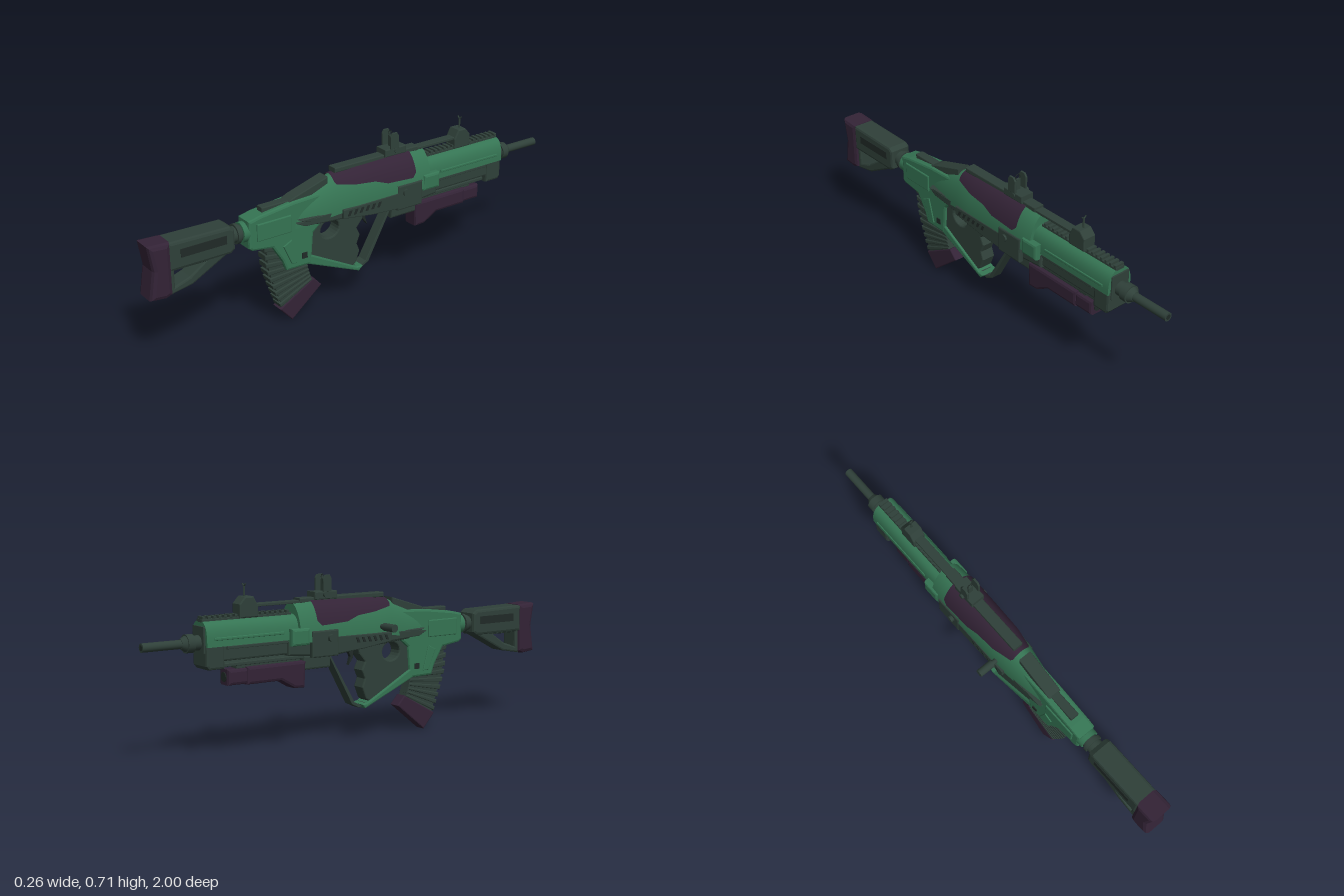
import * as THREE from 'three';

const mat = (name, hex, side = THREE.FrontSide) => {
  const m = new THREE.MeshStandardMaterial({ color: hex, side });
  m.name = name;
  return m;
};

export function createModel() {
  const green = mat('green', 0x357453);
  const dark = mat('dark grey green', 0x2f4039);
  const black = mat('near black', 0x202a27);
  const purple = mat('dark purple', 0x332336, THREE.DoubleSide);

  const model = new THREE.Group();
  const gun = new THREE.Group();
  gun.name = 'rifle';
  gun.position.x = 0.035;
  model.add(gun);

  const add = (name, geometry, material) => {
    const mesh = new THREE.Mesh(geometry, material);
    mesh.name = name;
    gun.add(mesh);
    return mesh;
  };
  // side profile of [z, y] points, extruded across x with chamfered edges
  const toVectors = pts => pts.map(([z, y]) => new THREE.Vector2(z, y));
  const profile = (name, pts, hw, bevel, material, holes = [], x = 0) => {
    const shape = new THREE.Shape(toVectors(pts));
    shape.holes = holes.map(h => new THREE.Path(toVectors(h)));
    const depth = 2 * (hw - bevel);
    const g = new THREE.ExtrudeGeometry(shape, {
      depth, bevelEnabled: bevel > 0, bevelSize: bevel, bevelThickness: bevel,
      bevelOffset: -bevel, bevelSegments: 2,
    });
    g.translate(0, 0, -depth / 2).rotateY(-Math.PI / 2).translate(x, 0, 0);
    return add(name, g, material);
  };
  const block = (name, z0, z1, y0, y1, hw, bevel, material, x = 0) =>
    profile(name, [[z0, y0], [z1, y0], [z1, y1], [z0, y1]], hw, bevel, material, [], x);
  // cylinder along z
  const rod = (name, z0, z1, y, r, material, r2 = r) => {
    const g = new THREE.CylinderGeometry(r2, r, Math.abs(z1 - z0), 20);
    return add(name, g.rotateX(-Math.PI / 2).translate(0, y, (z0 + z1) / 2), material);
  };
  // cylinder along x
  const pin = (name, x0, x1, y, z, r, material, sides = 16) => {
    const g = new THREE.CylinderGeometry(r, r, x1 - x0, sides);
    return add(name, g.rotateZ(Math.PI / 2).translate((x0 + x1) / 2, y, z), material);
  };
  // arched shell through stations { z, top, bot, hw, a0 } running toward -z
  const arch = (name, stations, power, material, caps) => {
    const N = 24, pos = [], idx = [];
    const row = s => {
      const a0 = s.a0 || 0;
      for (let j = 0; j <= N; j++) {
        const a = a0 + (Math.PI - 2 * a0) * j / N, c = Math.cos(a);
        pos.push(Math.sign(c) * Math.abs(c) ** power * s.hw,
          s.bot + (s.top - s.bot) * Math.abs(Math.sin(a)) ** power, s.z);
      }
    };
    stations.forEach(row);
    for (let k = 0; k < stations.length - 1; k++) for (let j = 0; j < N; j++) {
      const a = k * (N + 1) + j, b = a + N + 1;
      idx.push(a, b, a + 1, a + 1, b, b + 1);
    }
    if (caps) [stations[0], stations.at(-1)].forEach((s, e) => {
      const o = pos.length / 3;
      row(s);
      for (let j = 1; j < N; j++) idx.push(o, o + j + (e ? 1 : 0), o + j + (e ? 0 : 1));
    });
    const g = new THREE.BufferGeometry();
    g.setAttribute('position', new THREE.Float32BufferAttribute(pos, 3));
    g.setIndex(idx);
    g.computeVertexNormals();
    return add(name, g, material);
  };

  // stock
  profile('buttPad', [[0.9, 0.522], [0.995, 0.526], [0.978, 0.42], [0.997, 0.3], [0.93, 0.293], [0.9, 0.305]], 0.054, 0.018, purple);
  profile('stockBody', [[0.91, 0.52], [0.64, 0.515], [0.62, 0.5], [0.62, 0.415], [0.64, 0.4], [0.91, 0.4]], 0.05, 0.012, dark);
  profile('stockStrut', [[0.91, 0.43], [0.63, 0.43], [0.64, 0.405], [0.81, 0.315], [0.91, 0.297]], 0.04, 0.008, dark,
    [[[0.885, 0.395], [0.75, 0.395], [0.82, 0.35], [0.885, 0.328]]]);
  for (const x of [-0.05, 0.05]) block('stockPanel', 0.66, 0.86, 0.45, 0.485, 0.003, 0, black, x);
  rod('stockNeck', 0.63, 0.54, 0.455, 0.034, dark);
  rod('neckRing', 0.6, 0.585, 0.455, 0.042, dark);
  rod('neckCollar', 0.575, 0.53, 0.455, 0.043, green);

  // rear receiver with magazine well
  profile('receiver', [[0.555, 0.508], [0.5, 0.52], [0.34, 0.54], [0.2, 0.545], [0.2, 0.42], [0.25, 0.38],
    [0.262, 0.243], [0.383, 0.245], [0.4, 0.29], [0.447, 0.365], [0.54, 0.378], [0.555, 0.39]], 0.043, 0.01, green);
  for (const x of [-0.043, 0.043]) {
    block('receiverPanel', 0.36, 0.52, 0.415, 0.49, 0.006, 0.004, green, x);
    block('receiverLatch', 0.285, 0.31, 0.28, 0.305, 0.004, 0, black, x);
    profile('wellRib', [[0.36, 0.38], [0.4, 0.36], [0.36, 0.27], [0.33, 0.27]], 0.005, 0.003, green, [], x);
  }
  profile('lowerGuard', [[0.28, 0.29], [0.25, 0.275], [0.03, 0.158], [0.0, 0.155], [0.02, 0.135], [0.28, 0.245]], 0.042, 0.006, green);
  block('chargingCover', 0.48, 0.33, 0.515, 0.542, 0.02, 0.004, dark);
  profile('chargingRail', [[0.36, 0.54], [0.33, 0.553], [0.17, 0.602], [0.17, 0.56], [0.34, 0.52]], 0.03, 0.004, dark);

  // magazine
  const curve = pts => new THREE.CatmullRomCurve3(pts.map(([z, y]) => new THREE.Vector3(0, y, z)));
  const back = curve([[0.474, 0.37], [0.463, 0.26], [0.431, 0.158], [0.4, 0.07]]);
  const front = curve([[0.28, 0.33], [0.272, 0.255], [0.26, 0.2], [0.246, 0.155]]);
  const across = (t, s) => {
    const p = back.getPoint(t).lerp(front.getPoint(t), s);
    return [p.z, p.y];
  };
  const RIBS = 9;
  for (let i = 0; i < RIBS; i++) {
    const t0 = i / RIBS, t1 = (i + 0.6) / RIBS, t2 = (i + 1) / RIBS;
    profile('magazineRib', [across(t0, -0.03), across(t1, -0.03), across(t1, 0.98), across(t0, 0.98)], 0.029, 0.004, dark);
    profile('magazineBody', [across(t0, 0.03), across(t2, 0.03), across(t2, 0.97), across(t0, 0.97)], 0.024, 0, dark);
  }
  profile('magazineBase', [[0.412, 0.07], [0.352, 0.003], [0.205, 0.123], [0.243, 0.165]], 0.028, 0.005, purple);

  // grip, trigger and guard strap
  const thumbHole = Array.from({ length: 20 }, (_, i) => {
    const a = i / 20 * Math.PI * 2;
    return [0.163 + 0.046 * Math.cos(a), 0.368 + 0.04 * Math.sin(a)];
  });
  profile('grip', [[0.27, 0.43], [-0.02, 0.43], [-0.005, 0.37], [0.025, 0.335], [0.008, 0.3], [0.024, 0.262],
    [0.01, 0.225], [0.03, 0.175], [0.05, 0.16], [0.27, 0.275]], 0.032, 0.006, dark, [thumbHole]);
  profile('guardStrap', [[-0.16, 0.38], [-0.15, 0.38], [-0.025, 0.165], [0.0, 0.153], [0.04, 0.16], [0.03, 0.145], [-0.005, 0.14], [-0.04, 0.158]],
    0.026, 0.002, dark);
  profile('trigger', [[-0.02, 0.39], [-0.05, 0.39], [-0.035, 0.36], [-0.045, 0.325], [-0.022, 0.355]], 0.009, 0.002, black);

  // upper body shell
  const body = [[0.34, 0.542, 0.42, 0.043], [0.25, 0.562, 0.43, 0.058], [0.14, 0.6, 0.445, 0.073], [0.05, 0.612, 0.45, 0.081],
    [-0.25, 0.617, 0.45, 0.084], [-0.33, 0.61, 0.45, 0.08]].map(([z, top, bot, hw]) => ({ z, top, bot, hw }));
  arch('upperBody', body, 1, green, true);
  const bodyAt = z => {
    const k = body.findIndex(s => s.z <= z) - 1;
    const a = body[k], b = body[k + 1], t = (z - a.z) / (b.z - a.z);
    const mix = key => a[key] + (b[key] - a[key]) * t;
    return { z, top: mix('top') + 0.004, bot: mix('bot'), hw: mix('hw') + 0.005 };
  };
  const panel = [[0.147, 0.577], [0.14, 0.568], [0.05, 0.552], [-0.04, 0.543], [-0.1, 0.522], [-0.23, 0.515], [-0.25, 0.535]];
  arch('cheekPanel', panel.map(([z, y]) => {
    const s = bodyAt(z);
    return { ...s, a0: Math.asin((y - s.bot) / (s.top - s.bot)) };
  }), 1, purple, false);
  block('bodyCollar', -0.29, -0.375, 0.44, 0.51, 0.086, 0.01, green);
  profile('lowerBody', [[0.33, 0.46], [0.24, 0.42], [0.0, 0.4], [-0.16, 0.38], [-0.38, 0.4], [-0.38, 0.46]], 0.062, 0.01, dark);
  for (const s of [-1, 1]) {
    profile('sideRail', [[0.13, 0.462], [-0.16, 0.465], [-0.16, 0.392], [-0.02, 0.402], [0.13, 0.422]], 0.01, 0.004, dark, [], s * 0.074);
    const tail = profile('sideRailTail', [[0.34, 0.448], [0.11, 0.462], [0.11, 0.42], [0.3, 0.428]], 0.008, 0.003, dark);
    tail.position.x = s * 0.07;
    tail.rotation.y = -s * 0.06;
    for (let i = 0; i < 6; i++) {
      const z = 0.11 - i * 0.03;
      profile('railSlot', [[z, 0.43], [z - 0.012, 0.43], [z - 0.022, 0.452], [z - 0.01, 0.452]], 0.003, 0, black, [], s * 0.084);
    }
    block('sideMount', -0.15, -0.28, 0.385, 0.495, 0.012, 0.006, dark, s * 0.074);
    block('handguardStrip', -0.38, -0.66, 0.452, 0.464, 0.006, 0.002, dark, s * 0.052);
    block('handguardRib', -0.4, -0.72, 0.49, 0.502, 0.006, 0.003, green, s * 0.057);
  }
  pin('crossPin', -0.1, 0.095, 0.462, -0.19, 0.016, dark, 8);
  pin('boltStem', -0.1, -0.04, 0.487, 0.08, 0.011, dark);
  pin('boltHandle', -0.165, -0.095, 0.487, 0.08, 0.017, dark);

  // handguard
  const hg = { top: 0.565, bot: 0.465, hw: 0.06 };
  arch('handguard', [{ z: -0.32, ...hg }, { z: -0.75, ...hg }], 0.7, green, true);
  block('handguardLower', -0.34, -0.69, 0.405, 0.47, 0.05, 0.008, dark);
  block('handguardBar', -0.28, -0.7, 0.378, 0.393, 0.03, 0.003, dark);
  profile('handguardFront', [[-0.67, 0.475], [-0.752, 0.475], [-0.752, 0.39], [-0.74, 0.375], [-0.67, 0.375]], 0.056, 0.01, dark);
  block('frontPlate', -0.745, -0.757, 0.44, 0.545, 0.045, 0.004, dark);
  block('topRail', -0.34, -0.75, 0.56, 0.572, 0.022, 0.002, dark);
  for (let i = 0; i < 17; i++) {
    const z = -0.35 - i * 0.024;
    block('railTooth', z, z - 0.013, 0.57, 0.582, 0.022, 0.002, dark);
  }

  // barrel
  rod('barrelNut', -0.75, -0.785, 0.48, 0.03, dark);
  rod('barrelCollar', -0.785, -0.815, 0.48, 0.037, dark);
  rod('barrelTaper', -0.815, -0.835, 0.48, 0.032, dark, 0.02);
  rod('barrel', -0.83, -1, 0.48, 0.018, dark);
  rod('muzzleBore', -0.999, -1.001, 0.48, 0.011, black);

  // under-barrel launcher
  block('launcherMount', -0.155, -0.29, 0.33, 0.39, 0.035, 0.008, dark);
  profile('launcherGrip', [[-0.28, 0.37], [-0.56, 0.37], [-0.56, 0.298], [-0.4, 0.298], [-0.335, 0.26], [-0.285, 0.258]], 0.04, 0.012, purple);
  block('launcherNose', -0.55, -0.645, 0.302, 0.366, 0.036, 0.012, purple);
  rod('launcherBore', -0.64, -0.648, 0.334, 0.02, black);
  block('launcherSpacer', -0.3, -0.6, 0.365, 0.383, 0.022, 0.002, dark);

  // sight bridge and sights
  block('sightBridge', 0.13, -0.3, 0.605, 0.626, 0.024, 0.004, dark);
  block('sightBridgeFront', -0.28, -0.58, 0.605, 0.617, 0.02, 0.002, dark);
  block('rearSightBase', -0.12, -0.23, 0.615, 0.648, 0.032, 0.004, dark);
  pin('rearSightKnob', -0.042, 0.036, 0.635, -0.18, 0.012, dark);
  const ear = [[-0.148, 0.645], [-0.148, 0.7], [-0.157, 0.715], [-0.18, 0.715], [-0.19, 0.7], [-0.19, 0.645]];
  for (const x of [-0.029, 0.029]) profile('rearSightEar', ear, 0.0045, 0.001, dark, [], x);
  block('rearSightPost', -0.165, -0.175, 0.645, 0.695, 0.011, 0.001, dark);
  add('rearSightRing', new THREE.TorusGeometry(0.012, 0.0015, 6, 20).translate(0, 0.704, -0.17), black);
  profile('frontSightBase', [[-0.5, 0.565], [-0.5, 0.61], [-0.52, 0.648], [-0.56, 0.648], [-0.585, 0.62], [-0.585, 0.565]], 0.03, 0.005, dark);
  add('frontSightPost', new THREE.CylinderGeometry(0.004, 0.004, 0.046, 8).translate(0, 0.668, -0.548), dark);
  add('frontSightFork', new THREE.TorusGeometry(0.01, 0.003, 6, 14, Math.PI).rotateZ(Math.PI).translate(0, 0.7, -0.548), dark);

  return model;
}
